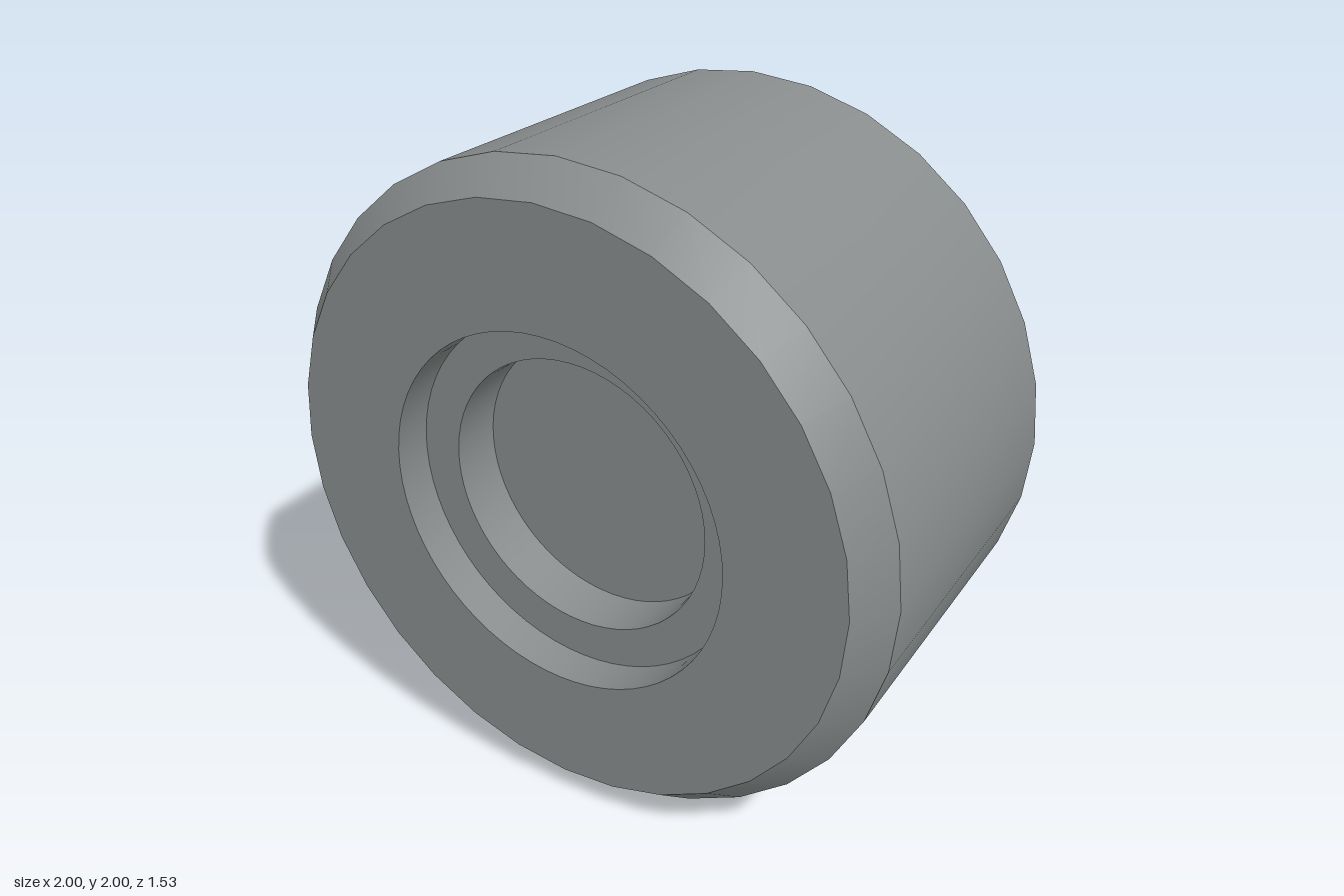
import * as THREE from 'three';
import { toCreasedNormals } from 'three/addons/utils/BufferGeometryUtils.js';

const OUTER_SIDES = 32;
const INNER_SIDES = 64;

export function createModel() {
  const model = new THREE.Group();
  const metal = new THREE.MeshStandardMaterial({ color: 0x888c8c });
  metal.name = 'grey metal';

  const addMesh = (name, geometry) => {
    const mesh = new THREE.Mesh(geometry, metal);
    mesh.name = name;
    mesh.position.y = 1;
    model.add(mesh);
  };

  // Turns a profile of [radius, z] pairs around the z axis, keeping edges sharp
  const turned = (profile, sides) => {
    const points = profile.map(([r, z]) => new THREE.Vector2(r, z));
    const lathe = new THREE.LatheGeometry(points, sides).rotateX(Math.PI / 2);
    return toCreasedNormals(lathe, Math.PI / 6);
  };

  const polygon = (radius, sides) => Array.from({ length: sides }, (_, i) => {
    const a = (i / sides) * Math.PI * 2;
    return new THREE.Vector2(radius * Math.cos(a), radius * Math.sin(a));
  });

  // Main drum with rear shoulder and front chamfer
  addMesh('body', turned([
    [0.5, -0.44], [0.935, -0.44], [0.935, -0.34], [1, -0.34], [1, 0.66], [0.91, 0.765],
  ], OUTER_SIDES));

  // Flat front face around the recess
  const face = new THREE.Shape(polygon(0.91, OUTER_SIDES));
  face.holes.push(new THREE.Path(polygon(0.55, INNER_SIDES)));
  addMesh('frontFace', new THREE.ShapeGeometry(face).translate(0, 0, 0.765));

  // Two-step recess in the front
  addMesh('frontRecess', turned([
    [0.55, 0.765], [0.55, 0.645], [0.425, 0.645], [0.425, 0.485], [0, 0.485],
  ], INNER_SIDES));

  // Rear spigot with its shallow bore
  addMesh('rearSpigot', turned([
    [0, -0.645], [0.35, -0.645], [0.35, -0.765], [0.52, -0.765], [0.52, -0.44],
  ], INNER_SIDES));

  return model;
}
